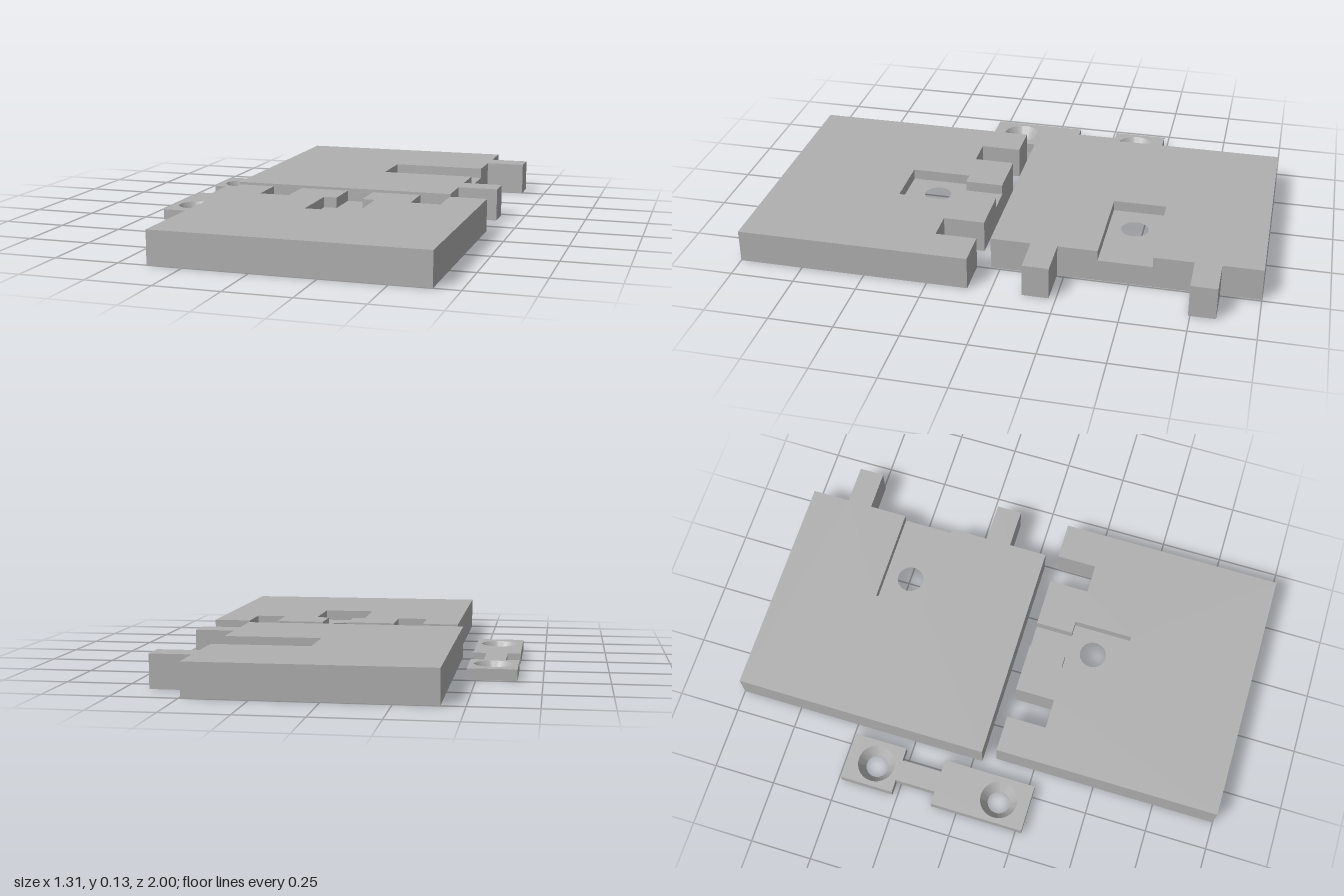
import * as THREE from 'three';
import { toCreasedNormals } from 'three/addons/utils/BufferGeometryUtils.js';

const SEG = 24;
const PLATE = 0.13;   // plate thickness
const FLOOR = 0.088;  // height of the recess floor
const LINK = 0.044;   // connector thickness

const grey = new THREE.MeshStandardMaterial({ color: 0xb0b0b0 });
grey.name = 'grey';

// Extrude an outline of [x, z] corners upward from y0 to y1; holes are [x, z, radius]
function slab(name, outline, y0, y1, holes = []) {
  const shape = new THREE.Shape(outline.map(([x, z]) => new THREE.Vector2(x, -z)));
  for (const [x, z, r] of holes) {
    const path = new THREE.Path();
    path.absarc(x, -z, r, 0, Math.PI * 2, true);
    shape.holes.push(path);
  }
  const geo = new THREE.ExtrudeGeometry(shape, { depth: y1 - y0, bevelEnabled: false, curveSegments: SEG });
  geo.rotateX(-Math.PI / 2);
  geo.translate(0, y0, 0);
  const mesh = new THREE.Mesh(toCreasedNormals(geo, 0.6), grey);
  mesh.name = name;
  return mesh;
}

// A plate has a drilled lower layer and an upper layer with the recess cut out of its edge
function plate(name, before, recess, after, hole) {
  const group = new THREE.Group();
  group.name = name;
  group.add(
    slab(name + 'Base', [...before, ...after], 0, FLOOR, [hole]),
    slab(name + 'Top', [...before, ...recess, ...after], FLOOR, PLATE),
  );
  return group;
}

export function createModel() {
  const model = new THREE.Group();
  model.name = 'interlockingPlates';

  // Back plate with two tabs and a rectangular recess on its left edge
  model.add(plate('tabPlate',
    [[-0.413, -1], [0.493, -1], [0.493, -0.845], [0.653, -0.845], [0.653, -0.743], [0.493, -0.743]],
    [[0.493, -0.588], [0.107, -0.588], [0.107, -0.378], [0.493, -0.378]],
    [[0.493, -0.223], [0.653, -0.223], [0.653, -0.12], [0.493, -0.12], [0.493, 0.037], [-0.413, 0.037]],
    [0.237, -0.483, 0.054]));

  // Front plate with two slots and a keyed recess on its back edge
  model.add(plate('slotPlate',
    [[-0.387, 0.09], [-0.24, 0.09], [-0.24, 0.252], [-0.118, 0.252], [-0.118, 0.09]],
    [[0.08, 0.09], [0.08, 0.242], [0.028, 0.242], [0.028, 0.48], [0.238, 0.48], [0.238, 0.242], [0.186, 0.242], [0.186, 0.09]],
    [[0.383, 0.09], [0.383, 0.252], [0.503, 0.252], [0.503, 0.09], [0.653, 0.09], [0.653, 1], [-0.387, 1]],
    [0.133, 0.348, 0.054]));

  // Connector: two pads joined by a narrow neck
  const connector = new THREE.Group();
  connector.name = 'connector';
  const cx = -0.56, rim = 0.075, bore = 0.045;
  const screwZ = [-0.367, 0.152];
  connector.add(slab('connectorBody', [
    [-0.655, -0.487], [-0.465, -0.487], [-0.465, -0.27], [-0.517, -0.27], [-0.517, -0.105], [-0.465, -0.105],
    [-0.465, 0.275], [-0.655, 0.275], [-0.655, -0.105], [-0.603, -0.105], [-0.603, -0.27], [-0.655, -0.27],
  ], 0, LINK, screwZ.map((z) => [cx, z, rim])));

  // Countersunk screw holes
  const profile = [[rim, LINK], [bore, 0], [rim, 0]].map(([r, y]) => new THREE.Vector2(r, y));
  const sink = toCreasedNormals(new THREE.LatheGeometry(profile, SEG * 2), 0.6);
  for (const z of screwZ) {
    const mesh = new THREE.Mesh(sink, grey);
    mesh.name = 'countersink';
    mesh.position.set(cx, 0, z);
    connector.add(mesh);
  }
  model.add(connector);

  return model;
}
